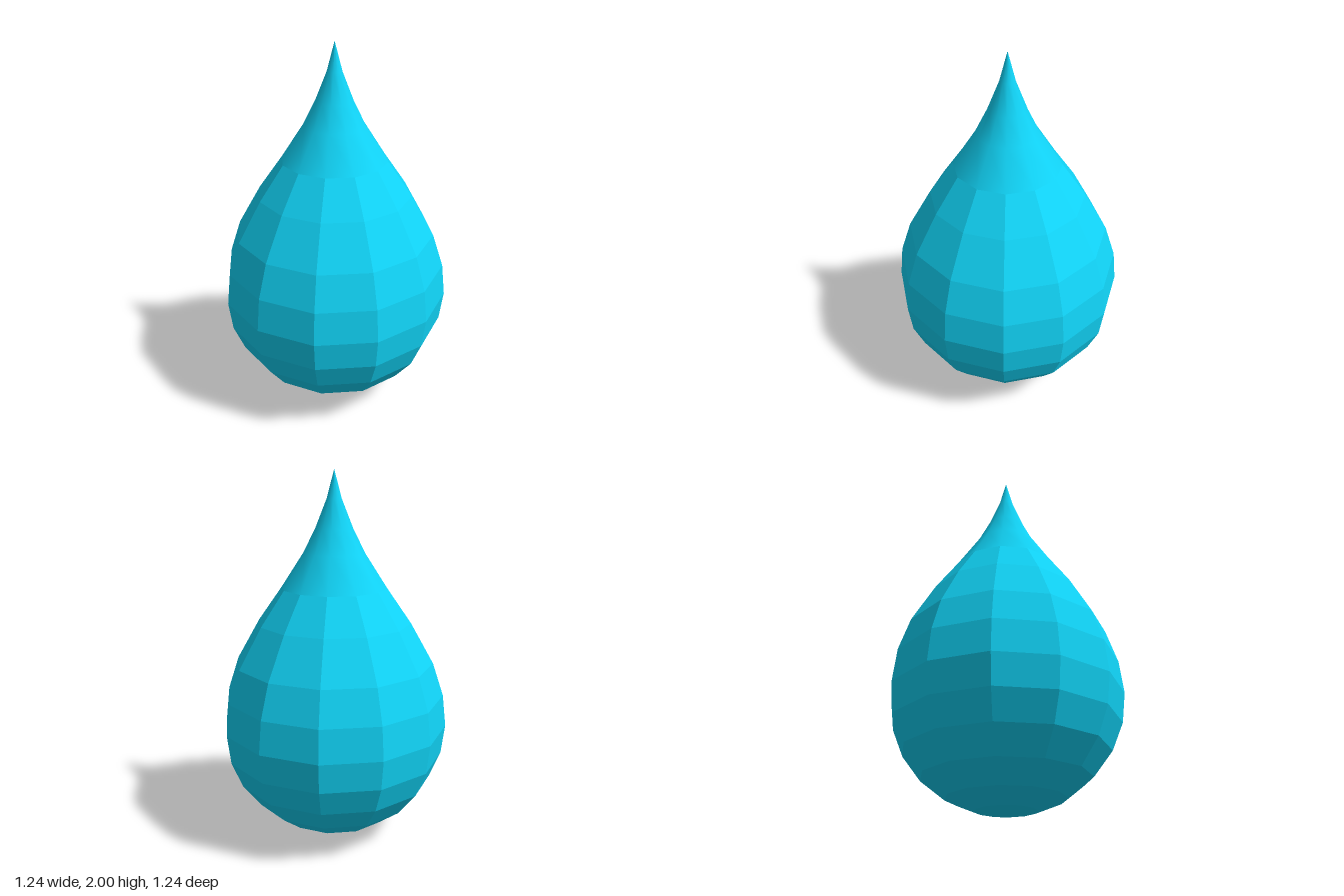
import * as THREE from 'three';

const SIDES = 12;
const COLOR = 0x11d4f7;

// Radius and height of each ring, bottom to top
const bodyProfile = [
  [0, 0], [0.16, 0.03], [0.31, 0.09], [0.44, 0.19], [0.54, 0.32], [0.6, 0.465], [0.62, 0.625],
  [0.6, 0.8], [0.54, 0.98], [0.415, 1.2], [0.285, 1.385],
];
const tipProfile = [[0.285, 1.385], [0.165, 1.57], [0.1, 1.7], [0.04, 1.85], [0, 2]];

function turned(name, profile, flatShading) {
  const points = profile.map(([r, y]) => new THREE.Vector2(r, y));
  const material = new THREE.MeshStandardMaterial({ color: COLOR, flatShading });
  const mesh = new THREE.Mesh(new THREE.LatheGeometry(points, SIDES), material);
  mesh.name = name;
  return mesh;
}

export function createModel() {
  const group = new THREE.Group();
  group.name = 'waterDrop';
  // Faceted round belly, then the smooth pointed tip
  group.add(turned('body', bodyProfile, true));
  group.add(turned('tip', tipProfile, false));
  return group;
}
